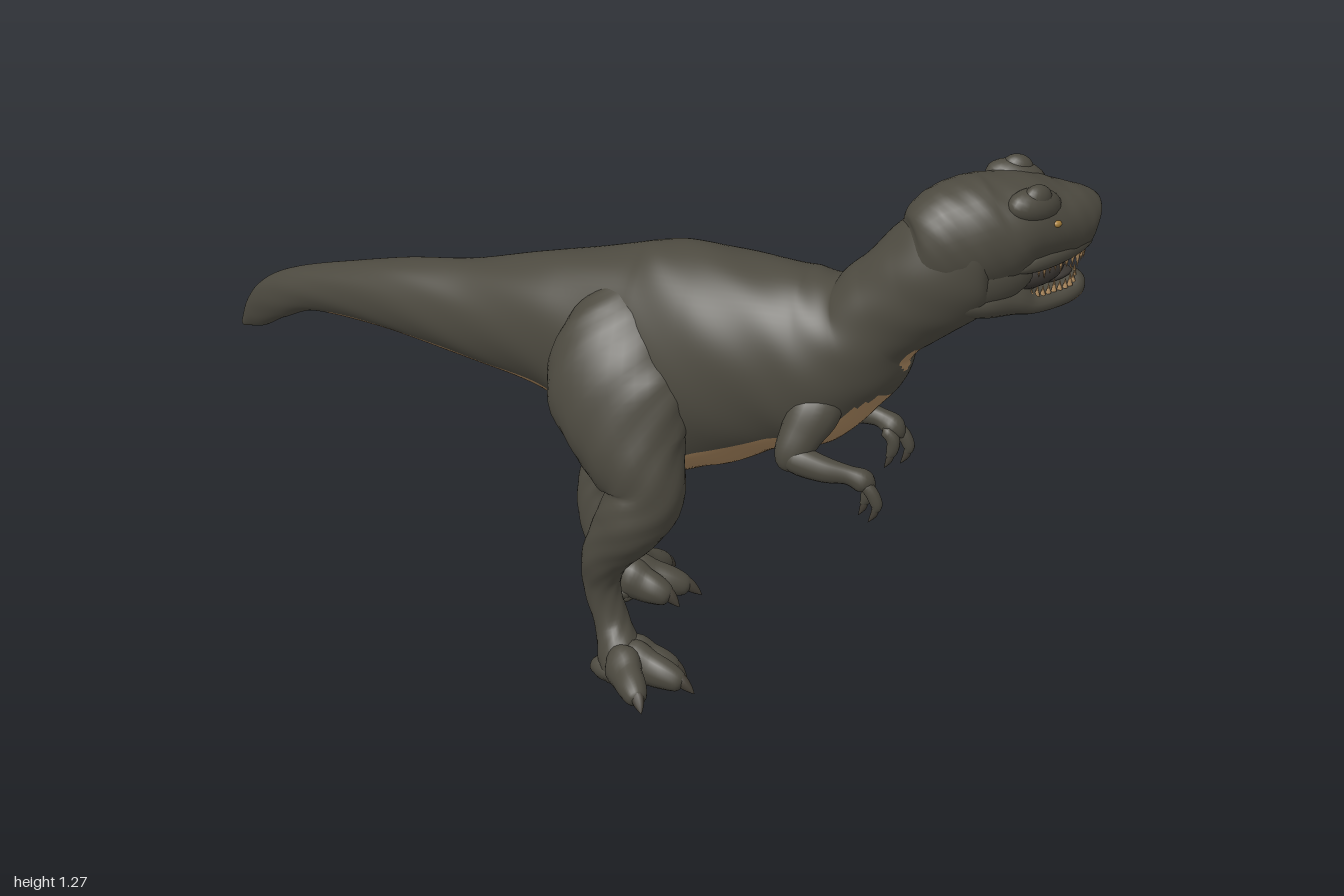
import * as THREE from 'three';

const V = (x, y, z) => new THREE.Vector3(x, y, z);
const mat = (name, color) => Object.assign(new THREE.MeshStandardMaterial({ color }), { name });

// Skin along stations [x, y, z, half width, half height], closed at both ends.
// paint picks a material per face, bump adds muscle, lean below 1 keeps the sections upright
function loft(stations, rings = 24, sides = 16, paint = () => 0, bump = 0, lean = 1) {
  const path = new THREE.CatmullRomCurve3(stations.map(s => V(s[0], s[1], s[2])), false, 'catmullrom');
  const size = new THREE.CatmullRomCurve3(stations.map(s => V(s[3], s[4], 0)), false, 'catmullrom');
  const pos = [], faces = [[], []];
  for (let i = 0; i <= rings; i++) {
    const u = i / rings, c = path.getPoint(u), t = path.getTangent(u), s = size.getPoint(u);
    t.y *= lean;
    t.normalize();
    const side = V(0, 0, 1).addScaledVector(t, -t.z).normalize();
    const up = side.clone().cross(t);
    const open = i > 0 && i < rings ? 1 : 0.01;
    for (let j = 0; j < sides; j++) {
      const a = j / sides * Math.PI * 2;
      const k = open * (1 + bump * Math.sin(a * 5 + u * 23) * Math.sin(u * 61 + a * 2));
      const p = c.clone().addScaledVector(side, Math.max(s.x, 0.001) * k * Math.cos(a))
        .addScaledVector(up, Math.max(s.y, 0.001) * k * Math.sin(a));
      pos.push(p.x, p.y, p.z);
      if (i === rings) continue;
      const j2 = (j + 1) % sides, b = i * sides, n = b + sides;
      faces[paint(c.x, a + Math.PI / sides)].push(b + j, n + j, b + j2, n + j, n + j2, b + j2);
    }
  }
  const g = new THREE.BufferGeometry();
  g.setAttribute('position', new THREE.Float32BufferAttribute(pos, 3));
  g.setIndex([...faces[0], ...faces[1]]);
  g.addGroup(0, faces[0].length, 0);
  g.addGroup(faces[0].length, faces[1].length, 1);
  g.computeVertexNormals();
  return g;
}

export function createModel() {
  const hide = mat('hide', 0x4d4a40), belly = mat('belly', 0xa9865e), claw = mat('claw', 0x443f36);
  const ivory = mat('ivory', 0xb08c60), mouth = mat('mouth', 0x3a3632), amber = mat('amber', 0xa8803c);
  const model = new THREE.Group();
  const add = (parent, name, geo, m) => {
    const mesh = new THREE.Mesh(geo, m);
    mesh.name = name;
    parent.add(mesh);
    return mesh;
  };
  const blob = (parent, name, m, p, r, rotZ = 0, rotY = 0) => {
    const b = add(parent, name, new THREE.SphereGeometry(1, 20, 14), m);
    b.position.set(...p);
    b.scale.set(...r);
    b.rotation.set(0, rotY, rotZ, 'YXZ');
    return b;
  };

  // Tail, trunk and neck: pale tail strip, belly with rounded chest end, throat spot
  const underside = (x, a) => {
    if (x > -0.78 && x < -0.14) return Math.sin(a + 0.12) < -0.67 ? 1 : 0;
    if (x > -0.03 && x < 0.51) return Math.sin(a) < -0.72 - Math.max(0, x - 0.48) * 4 ? 1 : 0;
    return ((x - 0.575) / 0.032) ** 2 + ((a - 4.98) / 0.28) ** 2 < 1 ? 1 : 0;
  };
  add(model, 'body', loft([
    [-1, 0.5, -0.34, 0.004, 0.004], [-0.96, 0.55, -0.32, 0.022, 0.04], [-0.9, 0.608, -0.285, 0.034, 0.053],
    [-0.8, 0.66, -0.24, 0.046, 0.055], [-0.6, 0.705, -0.16, 0.07, 0.085], [-0.4, 0.72, -0.1, 0.095, 0.12],
    [-0.2, 0.738, -0.05, 0.13, 0.172], [0, 0.706, -0.01, 0.168, 0.266], [0.15, 0.732, 0.02, 0.182, 0.258],
    [0.3, 0.766, 0.045, 0.175, 0.22], [0.41, 0.782, 0.064, 0.16, 0.203], [0.5, 0.84, 0.08, 0.135, 0.152],
    [0.56, 0.928, 0.09, 0.116, 0.13], [0.625, 0.997, 0.095, 0.114, 0.14], [0.695, 1.058, 0.092, 0.116, 0.15],
    [0.76, 1.105, 0.068, 0.112, 0.135], [0.83, 1.12, 0.04, 0.01, 0.01]],
    180, 72, underside, 0.012, 0.38), [hide, belly]);

  // Legs: s = 1 left, -1 right; the right leg stands further back
  for (const s of [1, -1]) {
    const leg = new THREE.Group();
    leg.name = s > 0 ? 'leftLeg' : 'rightLeg';
    model.add(leg);
    const place = ([x, y, z, w, h]) =>
      [x - (s < 0 ? 0.1 * THREE.MathUtils.clamp((0.72 - y) / 0.4, 0, 1) : 0), y, s * z - (s < 0 ? 0.01 : 0), w, h];
    const limb = (name, pts, m, r, n) => add(leg, name, loft(pts.map(place), r, n), m);
    add(leg, 'legSkin', loft([
      [-0.04, 0.91, 0.05, 0.01, 0.02], [-0.04, 0.83, 0.085, 0.065, 0.115], [-0.035, 0.7, 0.145, 0.085, 0.16],
      [0.005, 0.57, 0.182, 0.082, 0.128], [0.04, 0.47, 0.195, 0.077, 0.09], [0.005, 0.39, 0.204, 0.07, 0.078],
      [-0.05, 0.3, 0.194, 0.047, 0.054], [-0.062, 0.22, 0.176, 0.034, 0.042], [-0.04, 0.13, 0.174, 0.037, 0.04],
      [-0.015, 0.06, 0.195, 0.052, 0.05], [0, 0.006, 0.205, 0.05, 0.045]].map(place), 70, 32, undefined, 0.03),
      [hide, belly]);
    // Toes with claws: base, tip
    for (const [bx, bz, tx, tz] of [[0, 0.18, 0.125, 0.165], [0, 0.205, 0.158, 0.235], [-0.01, 0.225, 0.07, 0.358]]) {
      const at = (u, y, w, h) => [bx + (tx - bx) * u, y, bz + (tz - bz) * u, w, h];
      limb('toe', [at(-0.1, 0.055, 0.005, 0.005), at(0.05, 0.06, 0.036, 0.046), at(0.35, 0.046, 0.032, 0.04),
        at(0.6, 0.036, 0.031, 0.033), at(0.8, 0.026, 0.022, 0.022), at(0.87, 0.022, 0.004, 0.004)], hide, 24, 16);
      limb('toeClaw', [at(0.68, 0.036, 0.012, 0.012), at(0.78, 0.034, 0.015, 0.016), at(0.9, 0.02, 0.01, 0.012),
        at(1.02, 0.004, 0.001, 0.001)], claw, 10, 10);
    }
    limb('heelPad', [[-0.085, 0.02, 0.195, 0.005, 0.005], [-0.06, 0.028, 0.195, 0.034, 0.026],
      [0, 0.03, 0.2, 0.055, 0.028], [0.05, 0.03, 0.21, 0.01, 0.01]], hide, 14, 16);
    limb('dewclaw', [[-0.035, 0.14, 0.165, 0.02, 0.02], [-0.03, 0.11, 0.143, 0.016, 0.016],
      [-0.01, 0.08, 0.13, 0.002, 0.002]], hide, 10, 10);
  }

  // Arms, mirrored about the turned chest
  for (const s of [1, -1]) {
    const arm = new THREE.Group();
    arm.name = s > 0 ? 'leftArm' : 'rightArm';
    model.add(arm);
    const limb = (name, pts, m, r, n) =>
      add(arm, name, loft(pts.map(([x, y, z, w, h]) => [x, y, 0.08 + s * (z - 0.08), w, h]), r, n), m);
    limb('upperArm', [[0.44, 0.79, 0.14, 0.01, 0.02], [0.425, 0.72, 0.18, 0.04, 0.058], [0.395, 0.655, 0.21, 0.037, 0.048],
      [0.375, 0.605, 0.228, 0.03, 0.036], [0.385, 0.575, 0.233, 0.008, 0.01]], hide, 24, 16);
    limb('forearm', [[0.355, 0.615, 0.228, 0.008, 0.008], [0.385, 0.606, 0.23, 0.03, 0.033], [0.45, 0.588, 0.233, 0.027, 0.03],
      [0.505, 0.578, 0.228, 0.02, 0.022], [0.54, 0.562, 0.22, 0.026, 0.026], [0.562, 0.54, 0.214, 0.006, 0.006]], hide, 24, 16);
    for (const [x, z, dx] of [[0.548, 0.23, 0.022], [0.53, 0.2, -0.005]]) {
      limb('finger', [[x - 0.01, 0.565, z, 0.012, 0.014], [x + 0.012, 0.54, z, 0.014, 0.015],
        [x + 0.012 + dx * 0.5, 0.51, z, 0.011, 0.013], [x + dx * 0.6, 0.492, z, 0.004, 0.004]], hide, 12, 10);
      limb('fingerClaw', [[x + 0.01 + dx * 0.5, 0.51, z, 0.007, 0.008], [x + 0.006 + dx * 0.5, 0.49, z, 0.007, 0.008],
        [x - 0.006 + dx * 0.4, 0.468, z, 0.001, 0.001]], claw, 8, 8);
    }
  }

  // Head, turned to its right and slightly rolled; profiles are [x, top, bottom, half width]
  const head = new THREE.Group();
  head.name = 'head';
  head.position.set(0.688, 1.1, 0.107);
  head.rotation.set(0.1, 0.57, 0, 'YXZ');
  model.add(head);
  const profile = rows => rows.map(([x, top, low, w]) => [x, (top + low) / 2 - 1.1, 0, w, (top - low) / 2]);
  add(head, 'skull', loft(profile([
    [-0.1, 1.12, 1.04, 0.02], [-0.06, 1.18, 0.98, 0.075], [0, 1.235, 0.96, 0.108], [0.06, 1.258, 0.975, 0.12],
    [0.12, 1.264, 1.0, 0.122], [0.18, 1.25, 1.04, 0.114], [0.25, 1.222, 1.048, 0.092], [0.31, 1.198, 1.045, 0.07],
    [0.342, 1.165, 1.05, 0.046], [0.354, 1.12, 1.09, 0.01]]), 60, 36, undefined, 0.01), [hide, belly]);
  add(head, 'lowerJaw', loft(profile([
    [-0.06, 1.0, 0.98, 0.02], [-0.01, 1.04, 0.95, 0.09], [0.07, 1.055, 0.932, 0.113], [0.14, 1.035, 0.925, 0.102],
    [0.19, 0.997, 0.92, 0.088], [0.24, 0.985, 0.917, 0.07], [0.29, 0.985, 0.922, 0.052], [0.32, 0.99, 0.94, 0.034],
    [0.334, 0.975, 0.965, 0.01]]), 44, 28,
    (x, a) => x > 0.2 && x < 0.32 && Math.sin(a) < -0.45 ? 1 : 0), [hide, belly]);
  blob(head, 'mouthInside', mouth, [0.17, -0.078, 0], [0.115, 0.045, 0.078]);
  blob(head, 'tongue', mouth, [0.24, -0.11, 0], [0.065, 0.014, 0.033], 0.05);

  // Teeth along both jaws
  const teethRow = (name, arc, y, dir, count, len) => {
    const curve = new THREE.CatmullRomCurve3([...arc, ...arc.slice(0, -1).reverse().map(p => V(p.x, 0, -p.z))]);
    for (let i = 0; i <= count; i++) {
      const p = curve.getPointAt(i / count), l = len * (0.8 + 0.3 * (i % 3 === 1));
      const tooth = add(head, name, new THREE.ConeGeometry(0.0065, l, 7), ivory);
      tooth.position.set(p.x, y + dir * l / 2, p.z);
      if (dir < 0) tooth.rotation.x = Math.PI;
    }
  };
  teethRow('upperTooth', [V(0.2, 0, 0.08), V(0.25, 0, 0.064), V(0.305, 0, 0.046), V(0.33, 0, 0)], -0.036, -1, 22, 0.036);
  teethRow('lowerTooth', [V(0.19, 0, 0.066), V(0.24, 0, 0.053), V(0.29, 0, 0.036), V(0.312, 0, 0)], -0.125, 1, 20, 0.03);

  // Paired face details
  for (const s of [1, -1]) {
    blob(head, 'brow', hide, [0.19, 0.112, s * 0.062], [0.07, 0.04, 0.04], -0.25, s * 0.3);
    blob(head, 'browHorn', hide, [0.195, 0.132, s * 0.067], [0.036, 0.032, 0.025], -0.3, s * 0.3);
    blob(head, 'eye', amber, [0.236, 0.072, s * 0.089], [0.011, 0.008, 0.008], -0.2, s * 0.35);
    blob(head, 'cheek', hide, [0.09, -0.055, s * 0.086], [0.1, 0.055, 0.028], 0.1, s * 0.1);
    blob(head, 'lip', hide, [0.24, -0.024, s * 0.062], [0.11, 0.026, 0.022], 0.02, s * 0.36);
    blob(head, 'snoutRidge', hide, [0.275, 0.08, s * 0.036], [0.07, 0.022, 0.02], -0.4, s * 0.3);
    blob(head, 'nostril', claw, [0.33, 0.03, s * 0.05], [0.01, 0.008, 0.007]);
  }
  return model;
}
